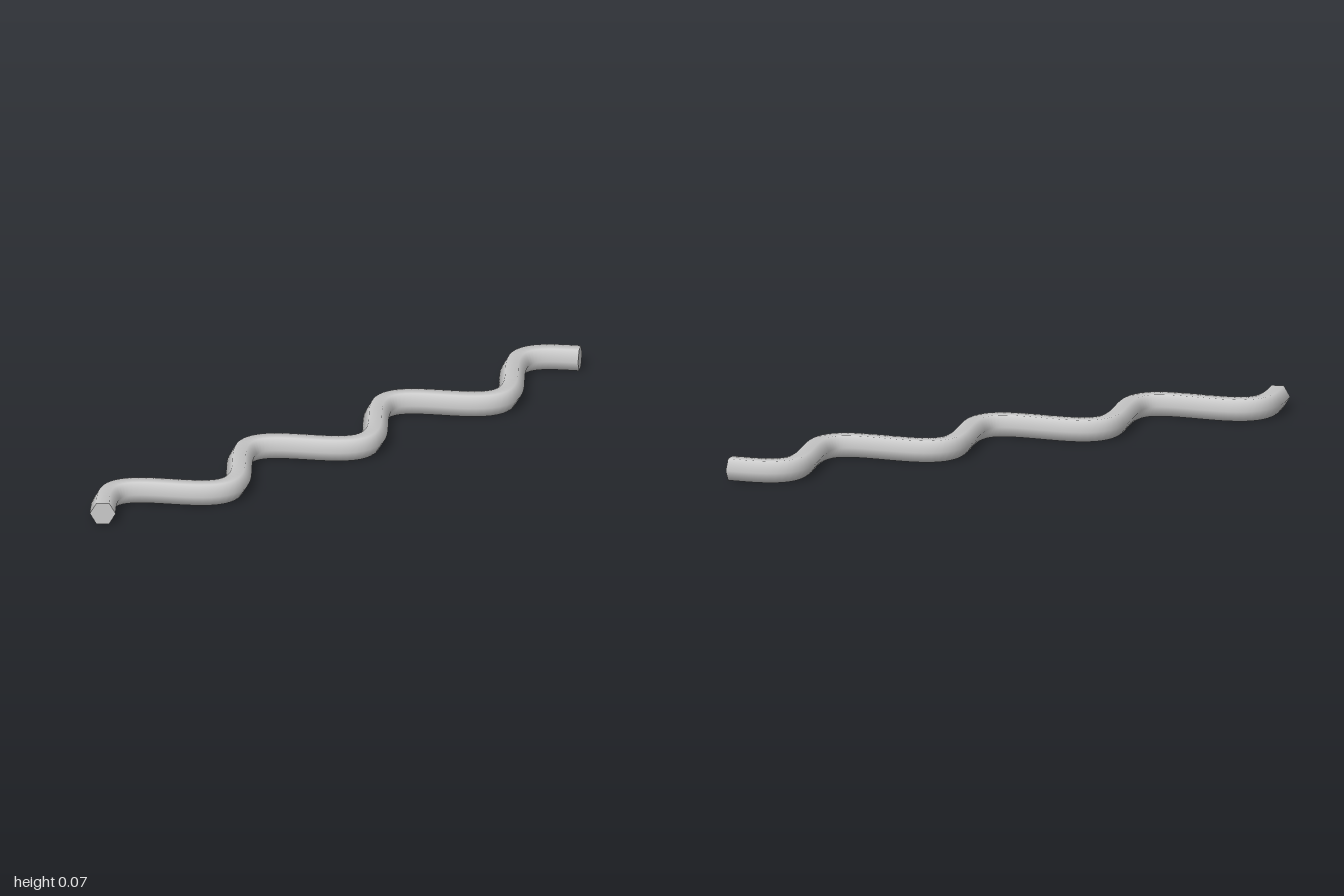
import * as THREE from 'three';

const R = 0.04, SIDES = 6, STEPS = 112;
const HALF = 0.97, AMP = 0.102, WAVE = (2 * HALF) / 3.5;
const Y = R * Math.sin(Math.PI / 3); // hexagon lies on a flat side
const K = (2 * Math.PI) / WAVE;
const waveZ = (x) => AMP * Math.cos(K * x);
const slope = (x) => -AMP * K * Math.sin(K * x);

// Hexagonal section swept along a flat wave, with smooth radial normals
function wavyTube() {
  const pos = [], nor = [], index = [];
  const row = SIDES + 1;
  for (let i = 0; i <= STEPS; i++) {
    const x = -HALF + (2 * HALF * i) / STEPS;
    const s = slope(x), len = Math.hypot(1, s);
    for (let j = 0; j <= SIDES; j++) {
      const a = (2 * Math.PI * j) / SIDES;
      const c = Math.cos(a);
      const n = [(-s / len) * c, Math.sin(a), c / len];
      pos.push(x + R * n[0], Y + R * n[1], waveZ(x) + R * n[2]);
      nor.push(...n);
      if (i < STEPS && j < SIDES) {
        const p = i * row + j, q = p + row;
        index.push(p, q, q + 1, p, q + 1, p + 1);
      }
    }
  }
  const g = new THREE.BufferGeometry();
  g.setAttribute('position', new THREE.Float32BufferAttribute(pos, 3));
  g.setAttribute('normal', new THREE.Float32BufferAttribute(nor, 3));
  g.setIndex(index);
  return g;
}

export function createModel() {
  const group = new THREE.Group();
  group.name = 'wavyRod';
  const material = new THREE.MeshStandardMaterial({ color: 0xcccccc });

  const rod = new THREE.Mesh(wavyTube(), material);
  rod.name = 'rod';
  group.add(rod);

  // Flat hexagonal caps, square to the ends of the wave
  for (const side of [-1, 1]) {
    const x = side * HALF;
    const cap = new THREE.Mesh(new THREE.CircleGeometry(R, SIDES), material);
    cap.name = side > 0 ? 'leftEndCap' : 'rightEndCap';
    cap.position.set(x, Y, waveZ(x));
    cap.rotation.y = Math.atan2(side, side * slope(x));
    group.add(cap);
  }
  return group;
}
